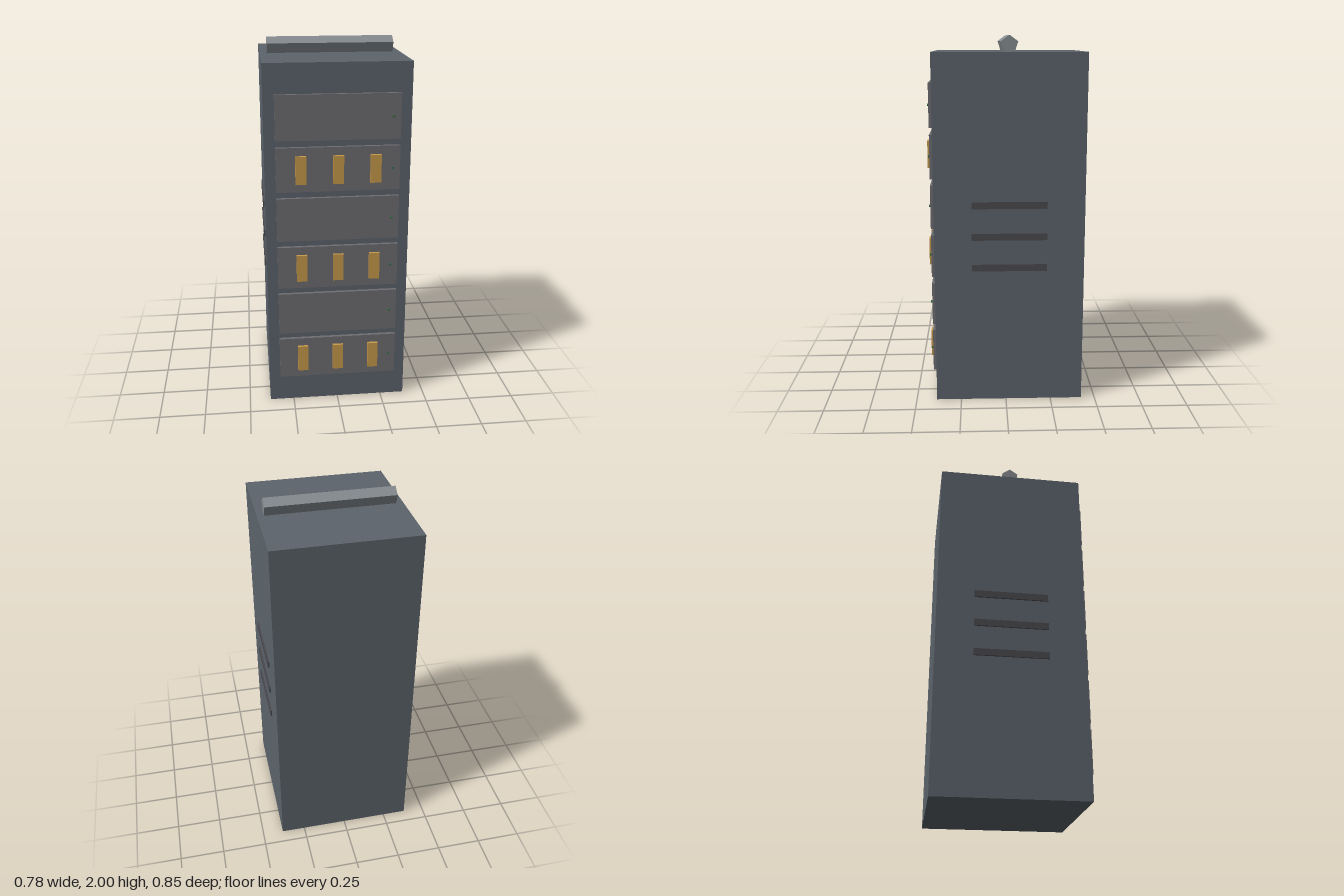
import * as THREE from 'three';

const mat = (color) => new THREE.MeshStandardMaterial({ color, flatShading: true });

export function createModel() {
  const cabinet = new THREE.Group();
  cabinet.name = 'cabinet';
  const shell = mat(0x5c646c), panel = mat(0x6e6e73), amber = mat(0xc89b4b);
  const dark = mat(0x4a4a4f), steel = mat(0x868c90), lamp = mat(0x3c6b4a);

  const add = (name, geometry, material, x, y, z) => {
    const mesh = new THREE.Mesh(geometry, material);
    mesh.name = name;
    mesh.position.set(x, y, z);
    cabinet.add(mesh);
    return mesh;
  };

  // Main housing
  add('housing', new THREE.BoxGeometry(0.766, 1.915, 0.812), shell, 0, 0.9575, -0.019);

  // Six stacked front modules, every other one carrying amber bars
  const panelGeo = new THREE.BoxGeometry(0.65, 0.238, 0.04);
  const barGeo = new THREE.BoxGeometry(0.057, 0.15, 0.03);
  const lampGeo = new THREE.CylinderGeometry(0.007, 0.007, 0.02, 8).rotateX(Math.PI / 2);
  for (let i = 0; i < 6; i++) {
    const y = 0.273 + i * 0.2733;
    add('frontPanel', panelGeo, panel, 0, y, 0.386);
    add('indicatorLamp', lampGeo, lamp, 0.285, y, 0.405);
    if (i % 2 === 0) {
      for (const x of [-0.196, 0, 0.196]) add('amberBar', barGeo, amber, x, y, 0.407);
    }
  }

  // Raised vent strips on both sides
  const ventGeo = new THREE.BoxGeometry(0.016, 0.038, 0.406);
  for (const side of [-1, 1]) {
    for (const y of [0.77, 0.942, 1.115]) add('sideVent', ventGeo, dark, side * 0.383, y, -0.019);
  }

  // Five-sided conduit across the top, one ridge pointing up
  const conduitGeo = new THREE.CylinderGeometry(0.0473, 0.0473, 0.69, 5)
    .rotateZ(Math.PI / 2).rotateX(-Math.PI / 2);
  add('topConduit', conduitGeo, steel, 0, 1.9527, -0.019);

  return cabinet;
}
